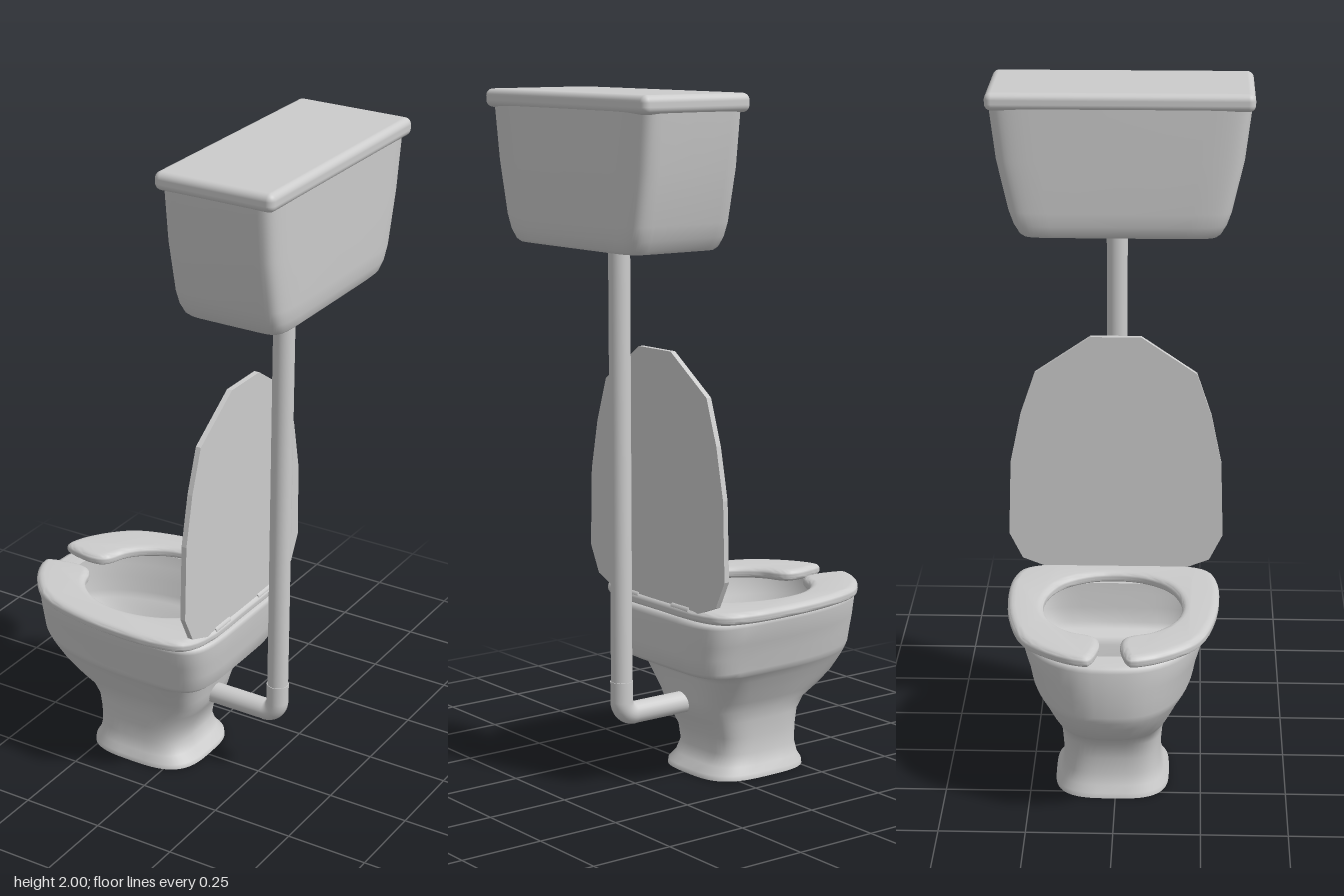
import * as THREE from 'three';
import { toCreasedNormals } from 'three/addons/utils/BufferGeometryUtils.js';
import { RoundedBoxGeometry } from 'three/addons/geometries/RoundedBoxGeometry.js';

const ZC = -0.012; // centre line of bowl, seat and pipe

// Lofts superellipse rings; row = [y, xMin, xMax, halfZ, xCentre, frontPower, backPower]
function loft(rows, zc = ZC, seg = 56) {
  const pos = [], idx = [];
  const pw = (v, n) => Math.sign(v) * Math.pow(Math.abs(v), 2 / n);
  for (const [y, x0, x1, hz, xc, nf, nb] of rows) {
    for (let j = 0; j < seg; j++) {
      const t = (j / seg) * Math.PI * 2, c = Math.cos(t), s = Math.sin(t);
      const n = c < 0 ? nf : nb;
      pos.push(xc + pw(c, n) * (c < 0 ? xc - x0 : x1 - xc), y, zc + hz * pw(s, n));
    }
  }
  for (let i = 0; i < rows.length - 1; i++) {
    for (let j = 0; j < seg; j++) {
      const k = (j + 1) % seg;
      const a = i * seg + j, b = i * seg + k, c = a + seg, d = b + seg;
      idx.push(a, c, b, b, c, d);
    }
  }
  const g = new THREE.BufferGeometry();
  g.setAttribute('position', new THREE.Float32BufferAttribute(pos, 3));
  g.setIndex(idx);
  g.computeVertexNormals();
  return g;
}

// Flat downward-facing cap under a loft's first row
function capOf(row, zc = ZC) {
  const [y, , , , xc, nf, nb] = row;
  return loft([[y, xc, xc, 0, xc, nf, nb], row], zc);
}

export function createModel() {
  const group = new THREE.Group();
  const porcelain = new THREE.MeshStandardMaterial({ color: 0xcccccc, side: THREE.DoubleSide });
  porcelain.name = 'porcelain';
  const add = (name, geo, x = 0, y = 0, z = 0) => {
    const m = new THREE.Mesh(geo, porcelain);
    m.name = name;
    m.position.set(x, y, z);
    group.add(m);
    return m;
  };

  // Hollow pedestal bowl, from foot to inward rim
  const bowl = [
    [0.0, -0.292, 0.072, 0.168, -0.11, 3.2, 3.2],
    [0.015, -0.29, 0.07, 0.167, -0.11, 3.2, 3.2],
    [0.035, -0.277, 0.045, 0.153, -0.115, 3.4, 3.4],
    [0.07, -0.268, 0.028, 0.143, -0.12, 3.6, 3.6],
    [0.12, -0.27, 0.038, 0.143, -0.12, 3.6, 3.6],
    [0.17, -0.28, 0.065, 0.148, -0.11, 3.4, 3.6],
    [0.205, -0.315, 0.085, 0.155, -0.1, 3.0, 3.6],
    [0.235, -0.38, 0.09, 0.17, -0.09, 2.7, 3.6],
    [0.27, -0.435, 0.098, 0.19, -0.07, 2.5, 3.8],
    [0.31, -0.465, 0.106, 0.212, -0.05, 2.5, 4],
    [0.333, -0.475, 0.115, 0.228, -0.04, 2.5, 4.5],
    [0.34, -0.478, 0.16, 0.235, -0.02, 2.5, 5],
    [0.355, -0.483, 0.177, 0.241, -0.02, 2.5, 5],
    [0.4, -0.488, 0.184, 0.25, -0.02, 2.5, 5],
    [0.44, -0.49, 0.188, 0.263, -0.02, 2.5, 5],
    [0.495, -0.49, 0.195, 0.279, -0.02, 2.5, 5],
    [0.508, -0.484, 0.192, 0.274, -0.02, 2.5, 5],
    [0.513, -0.47, 0.18, 0.26, -0.02, 2.5, 4.5],
    [0.513, -0.41, 0.11, 0.212, -0.04, 2.4, 3],
  ];
  add('bowl', loft(bowl));
  add('bowlFloor', capOf(bowl[0]));

  // Open-front seat: half outlines mirrored across the centre line
  const outer = [[-0.488, 0.06], [-0.47, 0.125], [-0.405, 0.213], [-0.345, 0.258], [-0.2, 0.298],
    [-0.03, 0.312], [0.08, 0.305], [0.15, 0.28], [0.185, 0.21]];
  const inner = [[0.1, 0.08], [0.05, 0.15], [-0.03, 0.19], [-0.12, 0.203], [-0.2, 0.19], [-0.27, 0.15],
    [-0.305, 0.11], [-0.325, 0.06], [-0.345, 0.037], [-0.385, 0.029], [-0.44, 0.037], [-0.475, 0.048]];
  const flip = (list) => list.map(([x, s]) => [x, -s]);
  const loop = [...outer, [0.192, 0], ...flip(outer).reverse(),
    ...flip(inner).reverse(), [0.115, 0], ...inner];
  const seatCurve = new THREE.CatmullRomCurve3(
    loop.map(([x, s]) => new THREE.Vector3(x, s, 0)), true, 'centripetal');
  const seatPoints = seatCurve.getPoints(140).slice(0, -1).map((p) => new THREE.Vector2(p.x, p.y));
  const seatGeo = new THREE.ExtrudeGeometry(new THREE.Shape(seatPoints), {
    depth: 0.006, bevelThickness: 0.015, bevelSize: 0.022, bevelOffset: -0.022, bevelSegments: 4,
  });
  seatGeo.rotateX(-Math.PI / 2);
  add('seat', toCreasedNormals(seatGeo, 0.75), 0, 0.525, ZC);

  // Raised lid, a thin upright faceted panel
  const half = [[0.16, 0.523], [0.282, 0.57], [0.322, 0.65], [0.315, 0.88], [0.284, 1.03],
    [0.24, 1.16], [0.075, 1.272]];
  const lidPoints = [...half, ...flip2(half).reverse()].map(([s, y]) => new THREE.Vector2(s, y));
  const lidGeo = new THREE.ExtrudeGeometry(new THREE.Shape(lidPoints), { depth: 0.016, bevelEnabled: false });
  lidGeo.rotateY(Math.PI / 2);
  add('lid', lidGeo, 0.167, 0, ZC);

  // Lid hinges
  for (const s of [-1, 1]) {
    const hinge = new THREE.CylinderGeometry(0.012, 0.012, 0.08, 12).rotateX(Math.PI / 2);
    add('hinge', hinge, 0.178, 0.538, ZC + s * 0.12);
  }

  // Flush pipe: upright, elbow and inlet
  add('flushPipe', new THREE.CylinderGeometry(0.031, 0.031, 1.27, 24), 0.305, 0.955, ZC);
  add('elbowCollar', new THREE.CylinderGeometry(0.033, 0.033, 0.06, 24), 0.305, 0.29, ZC);
  add('elbow', new THREE.TorusGeometry(0.04, 0.033, 24, 8, Math.PI / 2).rotateZ(-Math.PI / 2), 0.265, 0.26, ZC);
  add('inletPipe', new THREE.CylinderGeometry(0.032, 0.032, 0.2, 24).rotateZ(Math.PI / 2), 0.165, 0.22, ZC);

  // High tank with tapering sides
  const tank = [
    [1.573, 0.16, 0.458, 0.284, 0.309, 10, 10],
    [1.582, 0.15, 0.467, 0.294, 0.309, 10, 10],
    [1.61, 0.142, 0.475, 0.31, 0.309, 10, 10],
    [1.65, 0.138, 0.479, 0.324, 0.309, 10, 10],
    [1.8, 0.136, 0.482, 0.358, 0.309, 10, 10],
    [1.96, 0.135, 0.485, 0.378, 0.31, 10, 10],
  ];
  add('tank', loft(tank, 0));
  add('tankBottom', capOf(tank[0], 0));
  add('tankLid', new RoundedBoxGeometry(0.36, 0.052, 0.77, 4, 0.02), 0.31, 1.974, 0);

  return group;
}

// Mirrors [side, height] points to the other side
function flip2(list) {
  return list.map(([s, y]) => [-s, y]);
}
